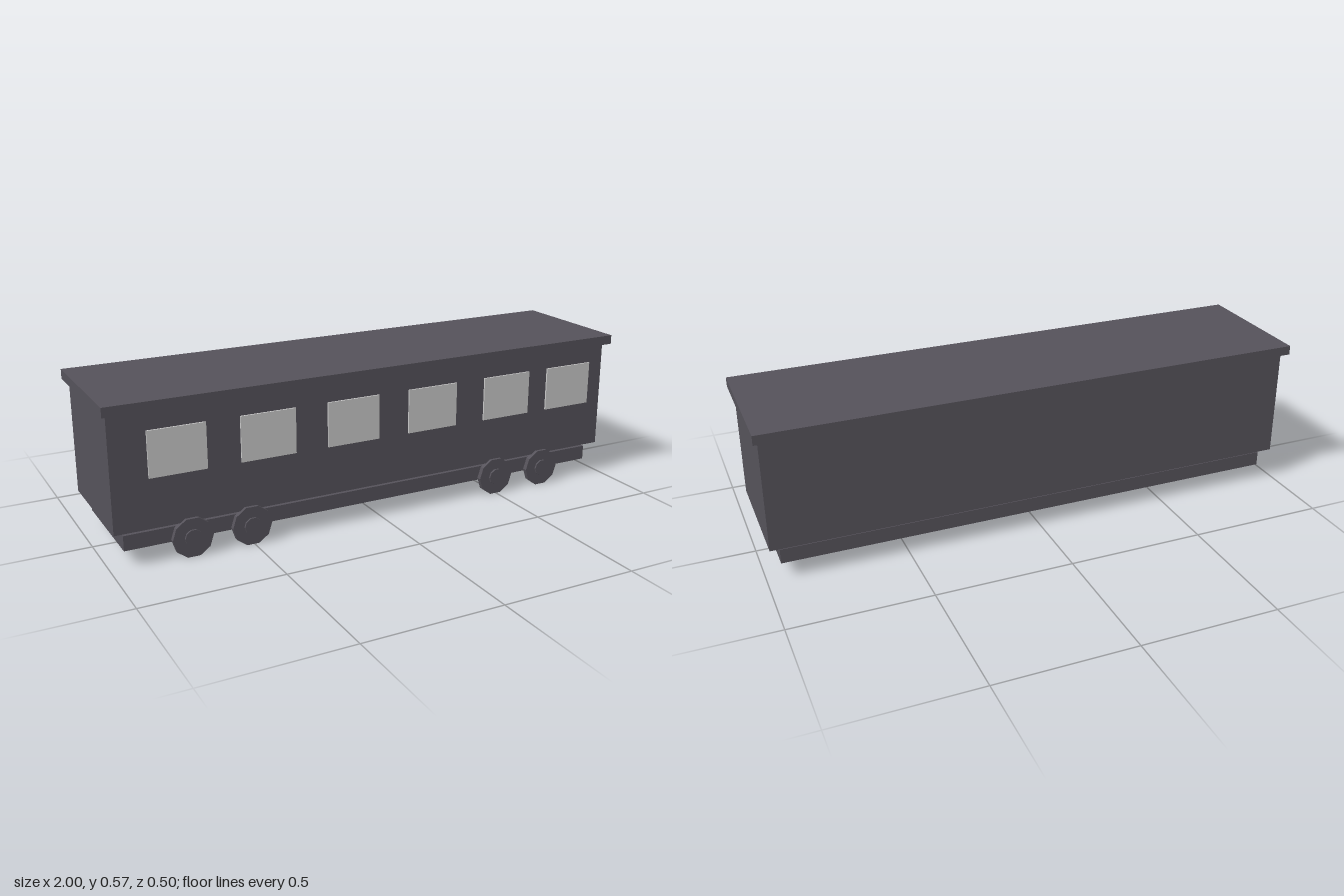
import * as THREE from 'three';

export function createModel() {
  const carriage = new THREE.Group();
  carriage.name = 'railCarriage';

  const paint = new THREE.MeshStandardMaterial({ color: 0x55525a, flatShading: true });
  paint.name = 'charcoal paint';
  const glass = new THREE.MeshStandardMaterial({ color: 0xc8c8c8, flatShading: true });
  glass.name = 'pale glass';

  const add = (name, geometry, material, x, y, z, parent = carriage) => {
    const mesh = new THREE.Mesh(geometry, material);
    mesh.name = name;
    mesh.position.set(x, y, z);
    parent.add(mesh);
    return mesh;
  };

  // Box placed by its vertical extent, centred on x and z
  const slab = (name, width, bottom, top, depth) =>
    add(name, new THREE.BoxGeometry(width, top - bottom, depth), paint, 0, (bottom + top) / 2, 0);

  slab('underframe', 1.89, 0.052, 0.106, 0.393);
  slab('body', 1.964, 0.124, 0.533, 0.445);
  slab('roof', 2, 0.533, 0.567, 0.502);

  // Thin window panes along the front side
  const pane = new THREE.BoxGeometry(0.201, 0.162, 0.007);
  [-0.755, -0.434, -0.111, 0.211, 0.534, 0.819].forEach((x, i) =>
    add(`window${i + 1}`, pane, glass, x, 0.382, 0.2252));

  // Ten-sided disc facing +z, with corners on the x axis
  const disc = (radius, depth) =>
    new THREE.CylinderGeometry(radius, radius, depth, 10).rotateY(Math.PI / 2).rotateX(Math.PI / 2);
  const tyre = disc(0.072, 0.018);
  const hub = disc(0.031, 0.008);

  // Two pairs of wheels, each a disc with a raised hub
  [-0.718, -0.505, 0.497, 0.71].forEach((x, i) => {
    const wheel = new THREE.Group();
    wheel.name = `wheel${i + 1}`;
    wheel.position.set(x, 0.0685, 0.225);
    add('wheelDisc', tyre, paint, 0, 0, 0, wheel);
    add('wheelHub', hub, paint, 0, 0, 0.012, wheel);
    carriage.add(wheel);
  });

  return carriage;
}
